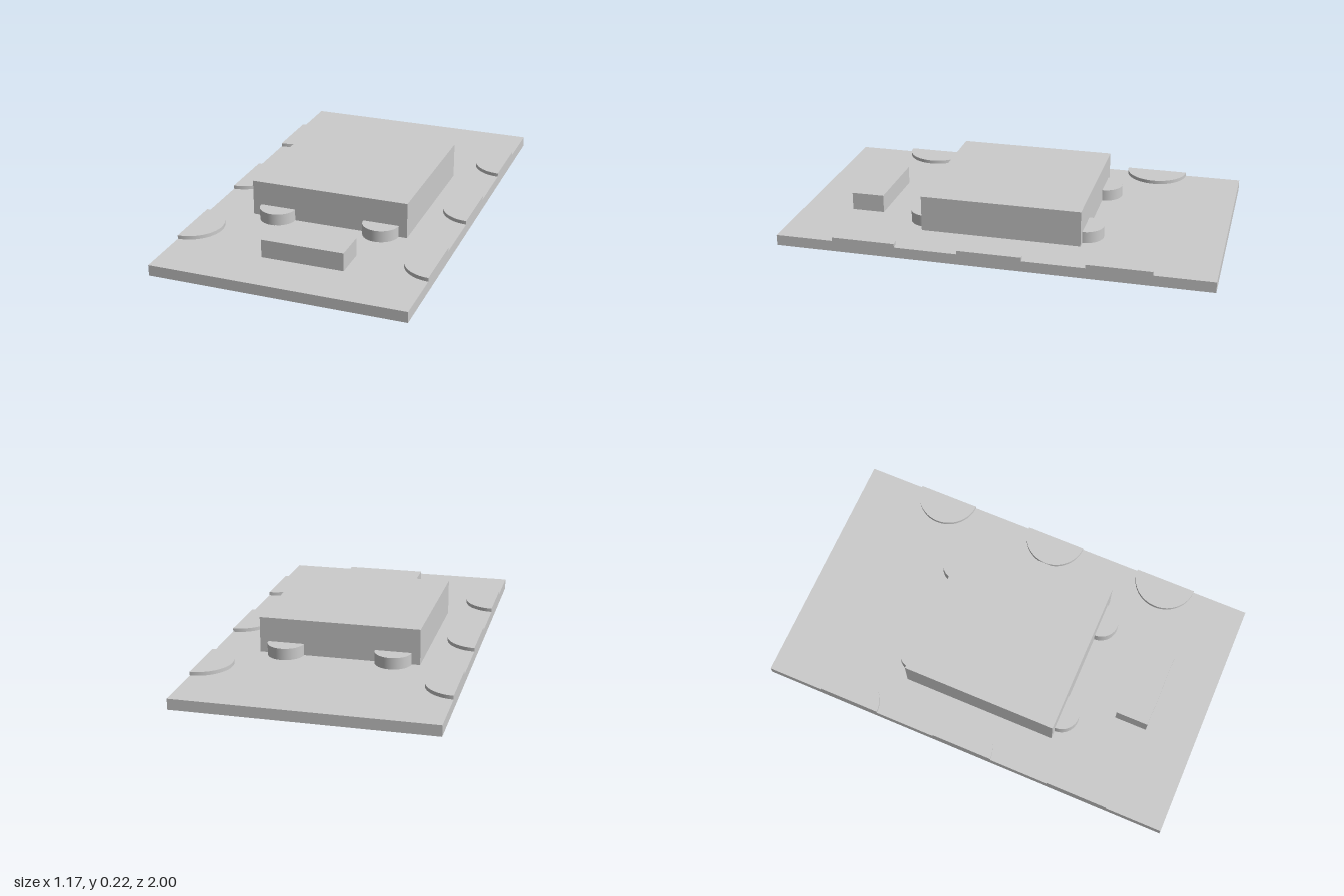
import * as THREE from 'three';
import { mergeGeometries } from 'three/addons/utils/BufferGeometryUtils.js';

const material = new THREE.MeshStandardMaterial({ color: 0xcccccc });
const HALF_W = 0.583, BOARD_TOP = 0.05, CHIP_HALF = 0.373;

// Solid half disc bulging toward +z, with its flat face on z = 0 and its base on y = 0
function halfDisc(radius, height) {
  const round = new THREE.CylinderGeometry(radius, radius, height, 32, 1, false, -Math.PI / 2, Math.PI);
  const flat = new THREE.PlaneGeometry(radius * 2, height).rotateY(Math.PI);
  return mergeGeometries([round, flat]).translate(0, height / 2, 0);
}

export function createModel() {
  const group = new THREE.Group();

  function add(name, geometry, x, y, z, turn = 0) {
    const mesh = new THREE.Mesh(geometry, material);
    mesh.name = name;
    mesh.position.set(x, y, z);
    mesh.rotation.y = turn;
    group.add(mesh);
  }

  // Box standing from y0 to y1
  function addBox(name, w, d, y0, y1, x, z) {
    add(name, new THREE.BoxGeometry(w, y1 - y0, d), x, (y0 + y1) / 2, z);
  }

  addBox('board', HALF_W * 2, 2, 0, BOARD_TOP, 0, 0);
  addBox('mainBlock', CHIP_HALF * 2, CHIP_HALF * 2, BOARD_TOP, 0.217, 0, 0);
  addBox('connector', 0.38, 0.154, BOARD_TOP, 0.134, 0.03, 0.688);

  // Three thin half-round pads along each long edge
  const pad = halfDisc(0.147, 0.017);
  for (const side of [-1, 1])
    for (const z of [-0.583, 0, 0.583])
      add('edgePad', pad, side * HALF_W, BOARD_TOP, z, -side * Math.PI / 2);

  // Two half-round tabs on the front and back of the main block
  const tab = halfDisc(0.084, 0.054);
  for (const end of [-1, 1])
    for (const x of [-0.25, 0.25])
      add('blockTab', tab, x, BOARD_TOP, end * CHIP_HALF, end > 0 ? 0 : Math.PI);

  return group;
}
